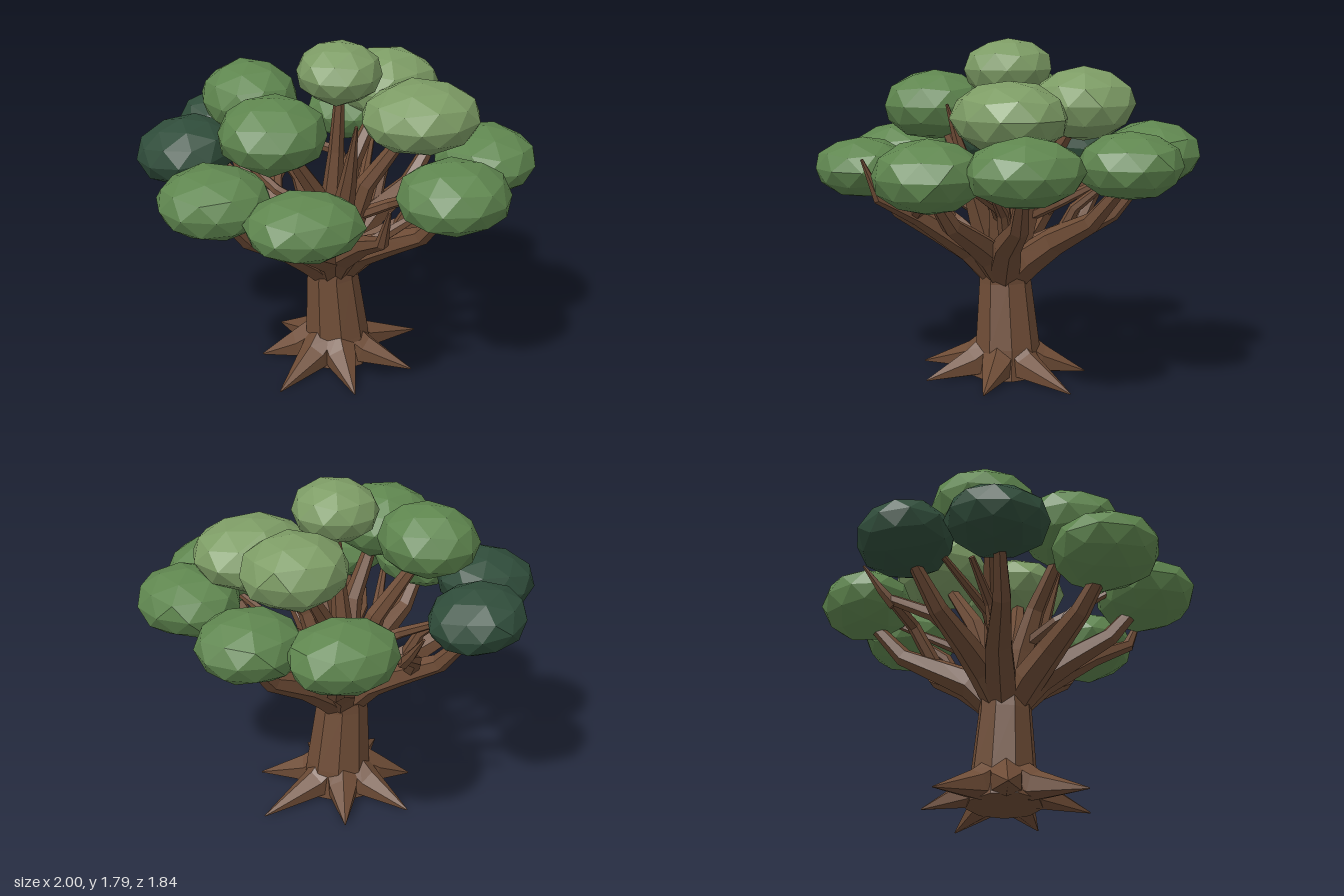
import * as THREE from 'three';

const V = (p) => new THREE.Vector3(...p);
const paint = (color) => new THREE.MeshStandardMaterial({ color, flatShading: true });
const bark = paint(0x6e4c36);
const leaf = { mid: paint(0x5f864f), dark: paint(0x2f4c3a), light: paint(0x7d9c65) };

// Tapered, faceted limb through points [x, y, z, radius], never below ground
function limb(name, pts, sides = 6) {
  const P = pts.map((p) => V(p.slice(0, 3)));
  const n = P.length, pos = [], idx = [];
  const ref = P[n - 1].clone().sub(P[0]).cross(V([0, 1, 0]));
  if (ref.length() < 0.06) ref.set(1, 0, 0);
  for (let i = 0; i < n; i++) {
    const t = P[Math.min(i + 1, n - 1)].clone().sub(P[Math.max(i - 1, 0)]).normalize();
    const v = t.clone().cross(ref).normalize();
    const u = v.clone().cross(t);
    for (let s = 0; s < sides; s++) {
      const a = ((s + 0.5) / sides) * Math.PI * 2;
      const q = P[i].clone()
        .addScaledVector(u, Math.cos(a) * pts[i][3])
        .addScaledVector(v, Math.sin(a) * pts[i][3]);
      pos.push(q.x, Math.max(0, q.y), q.z);
    }
  }
  for (let i = 0; i < n - 1; i++) {
    for (let s = 0; s < sides; s++) {
      const a = i * sides + s, b = i * sides + (s + 1) % sides;
      idx.push(a, b, b + sides, a, b + sides, a + sides);
    }
  }
  // End caps
  for (let s = 1; s < sides - 1; s++) {
    const e = (n - 1) * sides;
    idx.push(0, s + 1, s, e, e + s, e + s + 1);
  }
  const g = new THREE.BufferGeometry();
  g.setAttribute('position', new THREE.Float32BufferAttribute(pos, 3));
  g.setIndex(idx);
  g.computeVertexNormals();
  const m = new THREE.Mesh(g, bark);
  m.name = name;
  return m;
}

// Flattened faceted leaf clump, pole upright, slightly uneven, optionally leaning sideways
function clump([x, y, z], [rx, ry, rz], tone, seed, lean = 0) {
  const g = new THREE.IcosahedronGeometry(1, 1);
  g.rotateZ(Math.atan(2 / (1 + Math.sqrt(5))));
  g.rotateY(seed * 1.7);
  const p = g.attributes.position, v = new THREE.Vector3();
  for (let i = 0; i < p.count; i++) {
    v.fromBufferAttribute(p, i);
    const k = Math.sin(v.x * 5.1 + seed * 2.3) * Math.cos(v.z * 4.3 + seed) * Math.sin(v.y * 3 + seed);
    v.multiplyScalar(1.01 + 0.04 * k);
    p.setXYZ(i, v.x * rx, v.y * ry, v.z * rz);
  }
  g.computeVertexNormals();
  const m = new THREE.Mesh(g, leaf[tone]);
  m.position.set(x, y, z);
  m.rotation.z = lean;
  m.name = 'leafClump';
  return m;
}

export function createModel() {
  const tree = new THREE.Group();
  tree.name = 'tree';

  // Trunk
  tree.add(limb('trunk', [
    [0.01, 0, 0, 0.2], [0.02, 0.16, 0, 0.175], [-0.005, 0.5, 0, 0.142], [0, 0.6, 0, 0.138], [0, 0.74, 0, 0.09],
  ], 9));

  // Roots spreading to pointed tips
  const roots = new THREE.Group();
  roots.name = 'roots';
  for (const [x, z] of [[-0.4, 0.29], [-0.04, 0.45], [0.34, 0.31], [0.53, -0.09], [0.2, -0.38], [-0.16, -0.43], [-0.37, -0.12]]) {
    const d = Math.hypot(x, z), a = x / d, b = z / d;
    roots.add(limb('root', [
      [a * 0.08, 0.13, b * 0.08, 0.1], [a * 0.19, 0.065, b * 0.19, 0.085], [x, 0.002, z, 0.004],
    ], 6));
  }
  tree.add(roots);

  // Four quadrants of limbs: low outer, low inner and upper
  const limbs = new THREE.Group();
  limbs.name = 'limbs';
  for (const sx of [-1, 1]) for (const sz of [-1, 1]) {
    const M = (pts) => pts.map(([x, y, z, r]) => [x * sx, y, z * sz, r]);
    limbs.add(
      limb('outerLimb', M([[0.04, 0.53, 0.03, 0.08], [0.15, 0.65, 0.08, 0.088], [0.29, 0.755, 0.14, 0.075],
        [0.53, 0.88, 0.21, 0.052], [0.69, 1.07, 0.28, 0.034]])),
      limb('innerLimb', M([[0.03, 0.54, 0.04, 0.08], [0.09, 0.68, 0.15, 0.084], [0.19, 0.77, 0.29, 0.068],
        [0.31, 0.88, 0.47, 0.05], [0.38, 1.07, 0.62, 0.032]])),
      limb('upperLimb', M([[0.03, 0.55, 0.03, 0.08], [0.08, 0.82, 0.07, 0.07], [0.14, 1.05, 0.12, 0.052],
        [0.34, 1.36, 0.21, 0.03]])),
      limb('twig', M([[0.29, 0.75, 0.15, 0.04], [0.36, 0.93, 0.21, 0.03], [0.5, 1.1, 0.36, 0.016]])),
      limb('twig', M([[0.1, 0.86, 0.08, 0.035], [0.25, 0.95, 0.19, 0.03], [0.42, 1.12, 0.48, 0.016]])),
    );
  }

  // Central limbs, bare front branch and its twig
  limbs.add(
    limb('crownLimb', [[0, 0.55, -0.03, 0.1], [0.01, 0.85, -0.05, 0.068], [0.03, 1.2, -0.03, 0.042], [0.04, 1.56, 0, 0.025]]),
    limb('bareSpike', [[0, 0.55, 0.04, 0.08], [-0.01, 0.85, 0.14, 0.068], [0, 1.15, 0.24, 0.042], [0, 1.46, 0.34, 0.008]]),
    limb('frontBranch', [[0, 0.55, 0.05, 0.08], [-0.01, 0.7, 0.2, 0.078], [-0.01, 0.89, 0.5, 0.05],
      [-0.01, 1.0, 0.72, 0.034], [-0.01, 1.2, 0.81, 0.008]]),
    limb('twig', [[-0.01, 0.9, 0.52, 0.035], [0.12, 0.97, 0.54, 0.03], [0.34, 1.1, 0.58, 0.018]]),
  );

  // Back fork, one arm rising from a low limb, meeting in a bare tip
  limbs.add(
    limb('backFork', [[-0.22, 0.8, -0.33, 0.045], [-0.17, 0.92, -0.45, 0.038], [0.01, 1.06, -0.63, 0.028]]),
    limb('backFork', [[0.22, 0.82, -0.32, 0.04], [0.2, 1.02, -0.45, 0.035], [0.01, 1.06, -0.63, 0.028]]),
    limb('bareTip', [[0.01, 1.03, -0.61, 0.035], [0.01, 1.1, -0.68, 0.026], [0.01, 1.23, -0.785, 0.008]]),
  );
  tree.add(limbs);

  // Foliage: centre, radii, tone, lean
  const foliage = new THREE.Group();
  foliage.name = 'foliage';
  [
    [[0.035, 1.635, 0], [0.222, 0.158, 0.235], 'light'],
    [[0.41, 1.415, 0.2], [0.315, 0.182, 0.285], 'light'],
    [[0.4, 1.47, -0.235], [0.275, 0.187, 0.26], 'light'],
    [[-0.395, 1.43, 0.22], [0.275, 0.187, 0.278], 'mid'],
    [[-0.37, 1.475, -0.245], [0.25, 0.187, 0.28], 'mid'],
    [[0.735, 1.185, 0.29], [0.265, 0.17, 0.295], 'mid'],
    [[0.7, 1.18, -0.32], [0.27, 0.168, 0.268], 'mid'],
    [[-0.715, 1.14, 0.275], [0.285, 0.173, 0.278], 'mid'],
    [[-0.705, 1.205, -0.3], [0.265, 0.168, 0.262], 'dark', 0.12],
    [[0.4, 1.15, 0.64], [0.29, 0.18, 0.272], 'mid'],
    [[-0.38, 1.115, 0.65], [0.29, 0.158, 0.256], 'mid'],
    [[0.38, 1.19, -0.67], [0.285, 0.173, 0.242], 'mid'],
    [[-0.385, 1.2, -0.67], [0.255, 0.162, 0.25], 'dark', -0.15],
  ].forEach(([c, r, tone, lean], i) => foliage.add(clump(c, r, tone, i + 1, lean)));
  tree.add(foliage);

  return tree;
}
